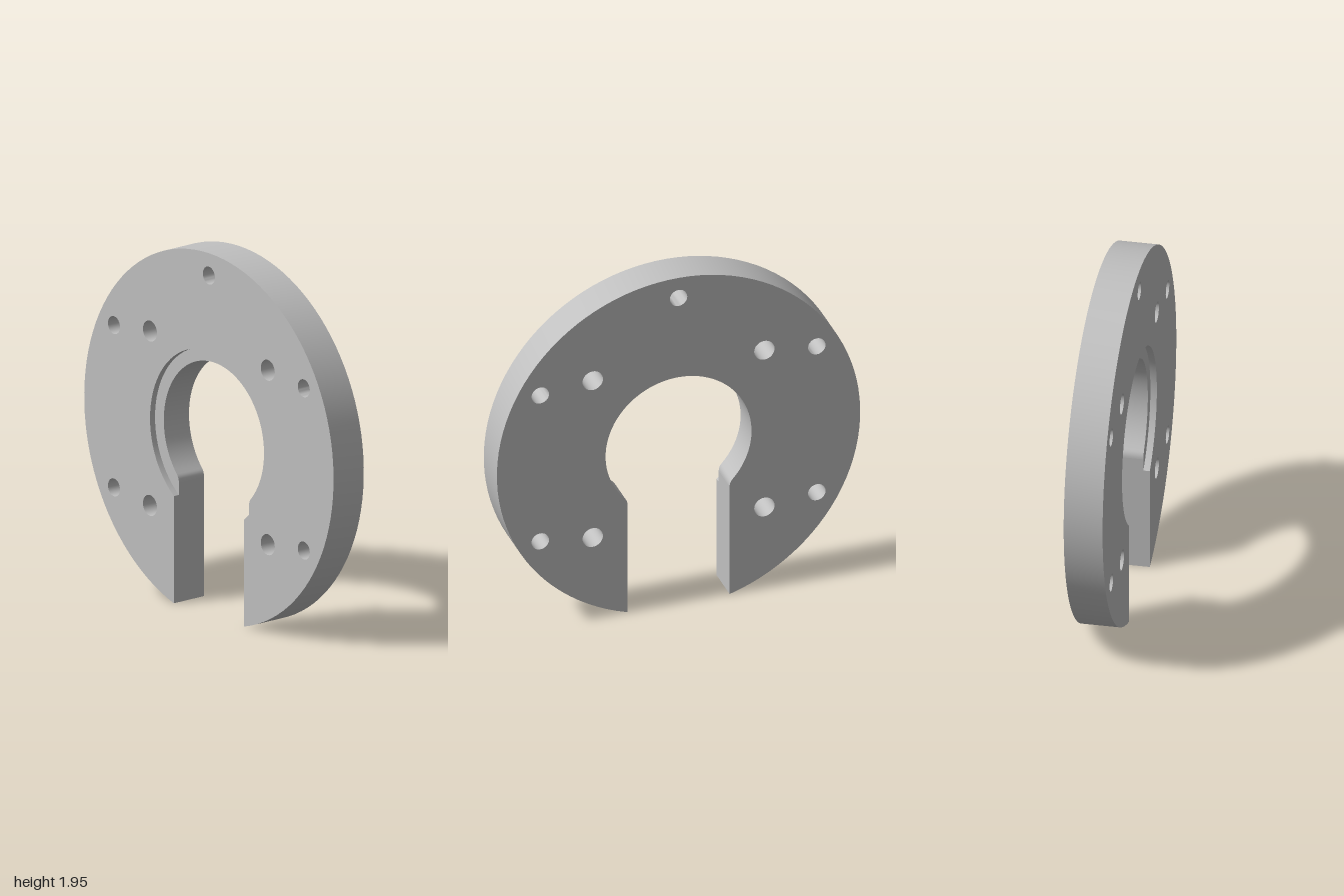
import * as THREE from 'three';
import { toCreasedNormals } from 'three/addons/utils/BufferGeometryUtils.js';

// Main dimensions
const R = 0.9955;          // outer radius
const BORE = 0.4;          // central bore radius
const RECESS = 0.47;       // shallow recess radius around the bore
const SLOT = 0.28;         // half width of the slot
const H = 0.1025;          // half thickness
const FLOOR = -H + 0.034;  // height of the recess floor
const CENTRE_Y = R * Math.cos(Math.asin(SLOT / R));
const TILT = 0.0435;       // slight turn about the vertical

function arc(r, from, to, n, cx = 0, cy = 0) {
  return Array.from({ length: n + 1 }, (_, i) => {
    const a = from + (to - from) * i / n;
    return new THREE.Vector2(cx + r * Math.cos(a), cy + r * Math.sin(a));
  });
}

// Arc running counter-clockwise from one slot side to the other
function slottedArc(r, n, extra = 0) {
  const gap = Math.asin(SLOT / r) + extra;
  return arc(r, -Math.PI / 2 + gap, 1.5 * Math.PI - gap, n);
}

// Wall standing on a path, with the solid on the left of the path
function wall(points, z0, z1) {
  const pos = [];
  for (let i = 0; i + 1 < points.length; i++) {
    const a = points[i], b = points[i + 1];
    pos.push(a.x, a.y, z0, b.x, b.y, z0, b.x, b.y, z1);
    pos.push(a.x, a.y, z0, b.x, b.y, z1, a.x, a.y, z1);
  }
  const g = new THREE.BufferGeometry();
  g.setAttribute('position', new THREE.Float32BufferAttribute(pos, 3));
  return toCreasedNormals(g, 0.4);
}

// Flat face; a back face is turned round, as every outline is symmetric
function face(outline, holes, z, back = false) {
  const shape = new THREE.Shape(outline);
  shape.holes = holes.map(h => new THREE.Path(h));
  const g = new THREE.ShapeGeometry(shape);
  if (back) g.rotateY(Math.PI);
  return g.translate(0, 0, z);
}

export function createModel() {
  const steel = new THREE.MeshStandardMaterial({ color: 0xc0c0c0 });
  steel.name = 'grey metal';
  const model = new THREE.Group();
  model.name = 'slottedFlange';
  const plate = new THREE.Group();
  plate.name = 'plate';
  const add = (name, geometry) => {
    const mesh = new THREE.Mesh(geometry, steel);
    mesh.name = name;
    plate.add(mesh);
  };

  // Outlines
  const outer = slottedArc(R, 96);
  const recess = slottedArc(RECESS, 64);
  const bore = slottedArc(BORE, 64, 0.06).reverse();
  const cornerY = -Math.sqrt(BORE ** 2 - SLOT ** 2);
  const fillet = side => new THREE.QuadraticBezierCurve(
    new THREE.Vector2(side * SLOT, cornerY - 0.025),
    new THREE.Vector2(side * SLOT, cornerY),
    side < 0 ? bore[0] : bore[bore.length - 1]).getPoints(5);
  const throat = [...fillet(-1), ...bore.slice(1, -1), ...fillet(1).reverse()];

  // Bolt holes: five on the outer circle, four larger ones on the inner
  const holes = [];
  const hole = (r, circle, degrees) => {
    const a = THREE.MathUtils.degToRad(degrees);
    holes.push(arc(r, 2 * Math.PI, 0, 32, circle * Math.cos(a), circle * Math.sin(a)));
  };
  for (const d of [-30, 30, 90, 150, 210]) hole(0.048, 0.875, d);
  for (const d of [45, 135, 225, 315]) hole(0.056, 0.665, d);
  const cutouts = holes.map(h => h.slice(0, -1));

  // Flat faces
  add('plainFace', face([...outer, ...throat], cutouts, H));
  add('recessedFace', face([...outer, ...[...recess].reverse()], cutouts, -H, true));
  add('recessFloor', face([...recess, ...throat], [], FLOOR, true));

  // Curved walls
  add('outerRim', wall(outer, -H, H));
  add('boreWall', wall(throat, FLOOR, H));
  add('recessWall', wall([...recess].reverse(), -H, FLOOR));
  holes.forEach(h => add('boltHole', wall(h, -H, H)));

  // Slot sides, stepped where the recess cuts in
  for (const side of [-1, 1]) {
    const at = y => new THREE.Vector2(side * SLOT, y);
    const path = [at(outer[0].y), at(recess[0].y), at(throat[0].y)];
    const run = (i, j) => side < 0 ? [path[i], path[j]] : [path[j], path[i]];
    add('slotSide', wall(run(0, 1), -H, H));
    add('slotSideUpper', wall(run(1, 2), FLOOR, H));
  }

  plate.rotation.y = Math.PI / 2 - TILT;
  plate.position.y = CENTRE_Y;
  model.add(plate);
  return model;
}
